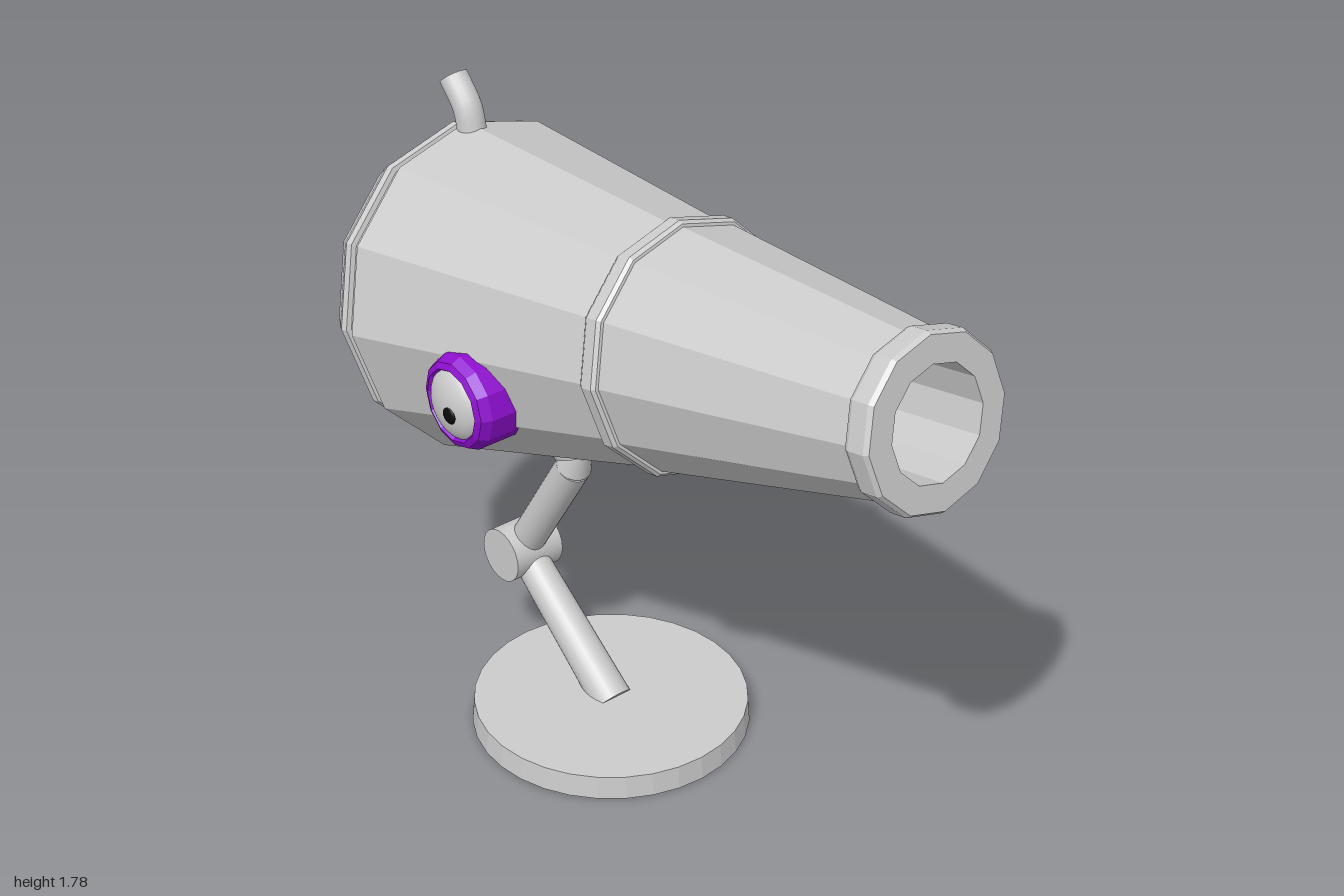
import * as THREE from 'three';

const grey = new THREE.MeshStandardMaterial({ color: 0xcccccc });
const greyFlat = new THREE.MeshStandardMaterial({ color: 0xcccccc, flatShading: true });
const purple = new THREE.MeshStandardMaterial({ color: 0x8f0fd0, flatShading: true });
const black = new THREE.MeshStandardMaterial({ color: 0x080808 });

const V = (x, y, z) => new THREE.Vector3(x, y, z);

function add(parent, name, geometry, material) {
  const mesh = new THREE.Mesh(geometry, material);
  mesh.name = name;
  parent.add(mesh);
  return mesh;
}

// Profile pairs are [radius, distance along the axis].
function lathe(profile, sides) {
  return new THREE.LatheGeometry(profile.map(([r, y]) => new THREE.Vector2(r, y)), sides);
}

// Round rod from a to b, with a radius for each end.
function rod(parent, name, a, b, ra, rb) {
  const d = b.clone().sub(a);
  const mesh = add(parent, name, new THREE.CylinderGeometry(rb, ra, d.length(), 24), grey);
  mesh.position.copy(a).addScaledVector(d, 0.5);
  mesh.quaternion.setFromUnitVectors(V(0, 1, 0), d.normalize());
  return mesh;
}

function createEye(side) {
  const eye = new THREE.Group();
  eye.name = side > 0 ? 'leftEye' : 'rightEye';
  // The axis of each eye points straight out to the side.
  eye.position.set(0, 1.155, -0.31);
  eye.rotation.z = -side * Math.PI / 2;

  add(eye, 'eyeRim', lathe([
    [0.13, 0.28], [0.13, 0.405], [0.117, 0.432], [0.1, 0.44], [0.09, 0.425], [0, 0.425],
  ], 12), purple);
  const ball = add(eye, 'eyeball', new THREE.SphereGeometry(0.1, 24, 12, 0, Math.PI * 2, 0, Math.PI / 2), grey);
  ball.scale.y = 0.52;
  ball.position.y = 0.413;
  const pupil = add(eye, 'pupil', new THREE.SphereGeometry(0.025, 16, 10), black);
  pupil.scale.y = 0.35;
  pupil.position.set(side * 0.01, 0.46, 0.02);
  return eye;
}

export function createModel() {
  const model = new THREE.Group();
  model.name = 'cannonOnStand';

  // Barrel group: local y runs along the bore, with the muzzle at y = 0
  const barrel = new THREE.Group();
  barrel.name = 'barrel';
  barrel.position.set(0, 1.5, 0.96);
  barrel.rotation.x = 1.391;
  model.add(barrel);

  add(barrel, 'barrelBody', lathe([
    [0.428, -1.76], [0.43, -1.72], [0.456, -1.705], [0.32, -0.9], [0.318, -0.84], [0.203, -0.06],
  ], 12), greyFlat);
  add(barrel, 'rearCap', lathe([
    [0, -1.951], [0.235, -1.951], [0.385, -1.871], [0.436, -1.79],
    [0.447, -1.768], [0.443, -1.75], [0.41, -1.745],
  ], 12), greyFlat);
  add(barrel, 'middleBand', lathe([
    [0.3, -0.9], [0.328, -0.897], [0.335, -0.885], [0.334, -0.85], [0.326, -0.84], [0.3, -0.838],
  ], 12), greyFlat);
  // Muzzle ring folds inward and continues as the bore
  add(barrel, 'muzzleAndBore', lathe([
    [0.19, -0.075], [0.219, -0.075], [0.225, -0.062], [0.225, -0.012], [0.217, 0],
    [0.146, 0], [0.146, -1.05], [0, -1.05],
  ], 12), greyFlat);

  // Fuse tube with a recessed end
  const path = new THREE.CatmullRomCurve3([
    V(0, 1.56, -0.765), V(0, 1.63, -0.775), V(0, 1.69, -0.792), V(0, 1.757, -0.848),
  ]);
  add(model, 'fuseTube', new THREE.TubeGeometry(path, 12, 0.04, 16), grey);
  const tip = path.getPoint(1);
  const out = path.getTangent(1);
  const end = new THREE.Group();
  end.name = 'fuseEnd';
  end.position.copy(tip);
  end.quaternion.setFromUnitVectors(V(0, 1, 0), out);
  add(end, 'fuseLip', lathe([[0.04, 0], [0.022, 0], [0.022, -0.03], [0, -0.03]], 16), greyFlat);
  model.add(end);

  for (const side of [1, -1]) model.add(createEye(side));

  // Stand: tilted disc, two arms, elbow and collar, all slightly off centre
  const x = 0.028;
  const base = add(model, 'baseDisc', new THREE.CylinderGeometry(0.386, 0.392, 0.068, 32), greyFlat);
  base.position.set(x, 0.04, -0.255);
  base.rotation.x = 0.015;

  rod(model, 'lowerArm', V(x, 0.05, -0.25), V(x, 0.375, -0.645), 0.058, 0.05);
  rod(model, 'upperArm', V(x, 0.375, -0.645), V(x, 0.75, -0.405), 0.05, 0.05);
  rod(model, 'upperArmTip', V(x, 0.75, -0.405), V(x, 0.815, -0.375), 0.05, 0.034);
  rod(model, 'elbow', V(x - 0.08, 0.375, -0.645), V(x + 0.08, 0.375, -0.645), 0.08, 0.08);
  rod(model, 'collar', V(x, 0.797, -0.392), V(x, 0.835, -0.405), 0.062, 0.077);

  return model;
}
